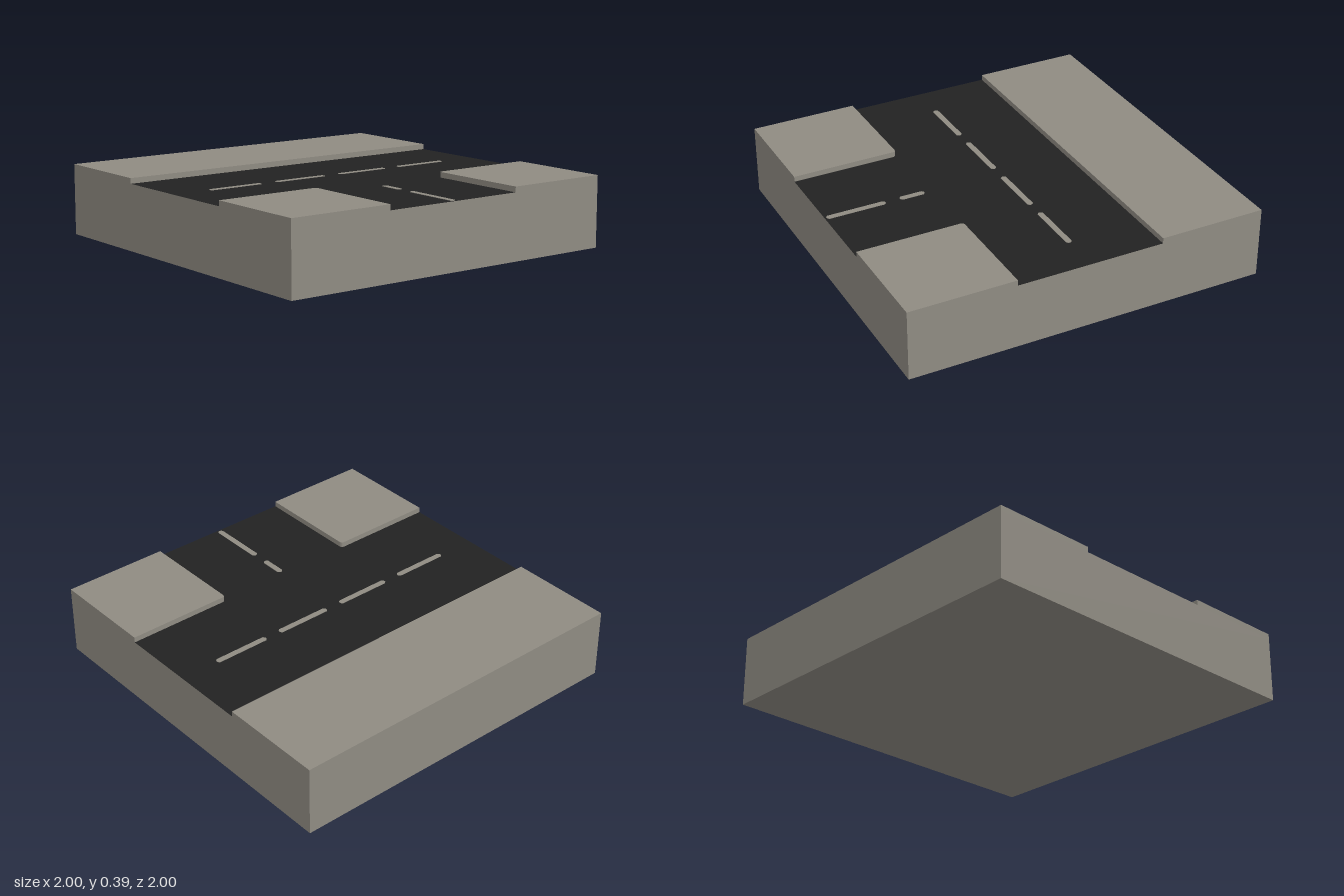
import * as THREE from 'three';

const ROAD_Y = 0.36, TOP_Y = 0.39, CURB = 0.41;

export function createModel() {
  const model = new THREE.Group();
  model.name = 'roadJunctionTile';

  const stone = new THREE.MeshStandardMaterial({ color: 0x8f8b82 });
  stone.name = 'stone';
  const asphalt = new THREE.MeshStandardMaterial({ color: 0x222222 });
  asphalt.name = 'asphalt';

  const add = (name, geometry, material) => {
    const mesh = new THREE.Mesh(geometry, material);
    mesh.name = name;
    model.add(mesh);
    return mesh;
  };

  // Flat shape (drawn in x and -z) raised from y0 by height
  const slab = (name, shape, y0, height) => {
    const geometry = new THREE.ExtrudeGeometry(shape, { depth: height, bevelEnabled: false, curveSegments: 4 });
    geometry.rotateX(-Math.PI / 2).translate(0, y0, 0);
    return add(name, geometry, stone);
  };

  // Stone block whose top face is the road surface
  const base = new THREE.BoxGeometry(2, ROAD_Y, 2).translate(0, ROAD_Y / 2, 0);
  add('baseAndRoad', base, [stone, stone, asphalt, stone, stone, stone]);

  // Long pavement on the closed side of the junction
  const strip = new THREE.BoxGeometry(1 - CURB, TOP_Y - ROAD_Y, 2);
  add('longPavement', strip.translate(-(1 + CURB) / 2, (TOP_Y + ROAD_Y) / 2, 0), stone);

  // Corner pavements with a slightly rounded curb corner
  const r = 0.02;
  const backCorner = new THREE.Shape();
  backCorner.moveTo(CURB + r, CURB);
  backCorner.lineTo(1, CURB);
  backCorner.lineTo(1, 1);
  backCorner.lineTo(CURB, 1);
  backCorner.lineTo(CURB, CURB + r);
  backCorner.quadraticCurveTo(CURB, CURB, CURB + r, CURB);
  slab('backCornerPavement', backCorner, ROAD_Y, TOP_Y - ROAD_Y);
  const frontCorner = new THREE.Shape(backCorner.getPoints(4).map((p) => new THREE.Vector2(p.x, -p.y)));
  slab('frontCornerPavement', frontCorner, ROAD_Y, TOP_Y - ROAD_Y);

  // Lane dashes: thin plates with clipped corners
  const dash = (name, x, z, length, alongX) => {
    const w = 0.016, h = length / 2, c = 0.01;
    const shape = new THREE.Shape([
      [-w, -h + c], [-w + c, -h], [w - c, -h], [w, -h + c],
      [w, h - c], [w - c, h], [-w + c, h], [-w, h - c],
    ].map(([a, b]) => new THREE.Vector2(a, b)));
    const mesh = slab(name, shape, 0, 0.002);
    mesh.position.set(x, ROAD_Y, z);
    if (alongX) mesh.rotation.y = Math.PI / 2;
  };
  [-0.62, -0.21, 0.205, 0.62].forEach((z) => dash('mainRoadDash', 0, z, 0.32, false));
  dash('sideRoadShortDash', 0.508, -0.004, 0.14, true);
  dash('sideRoadLongDash', 0.825, -0.004, 0.33, true);

  return model;
}
